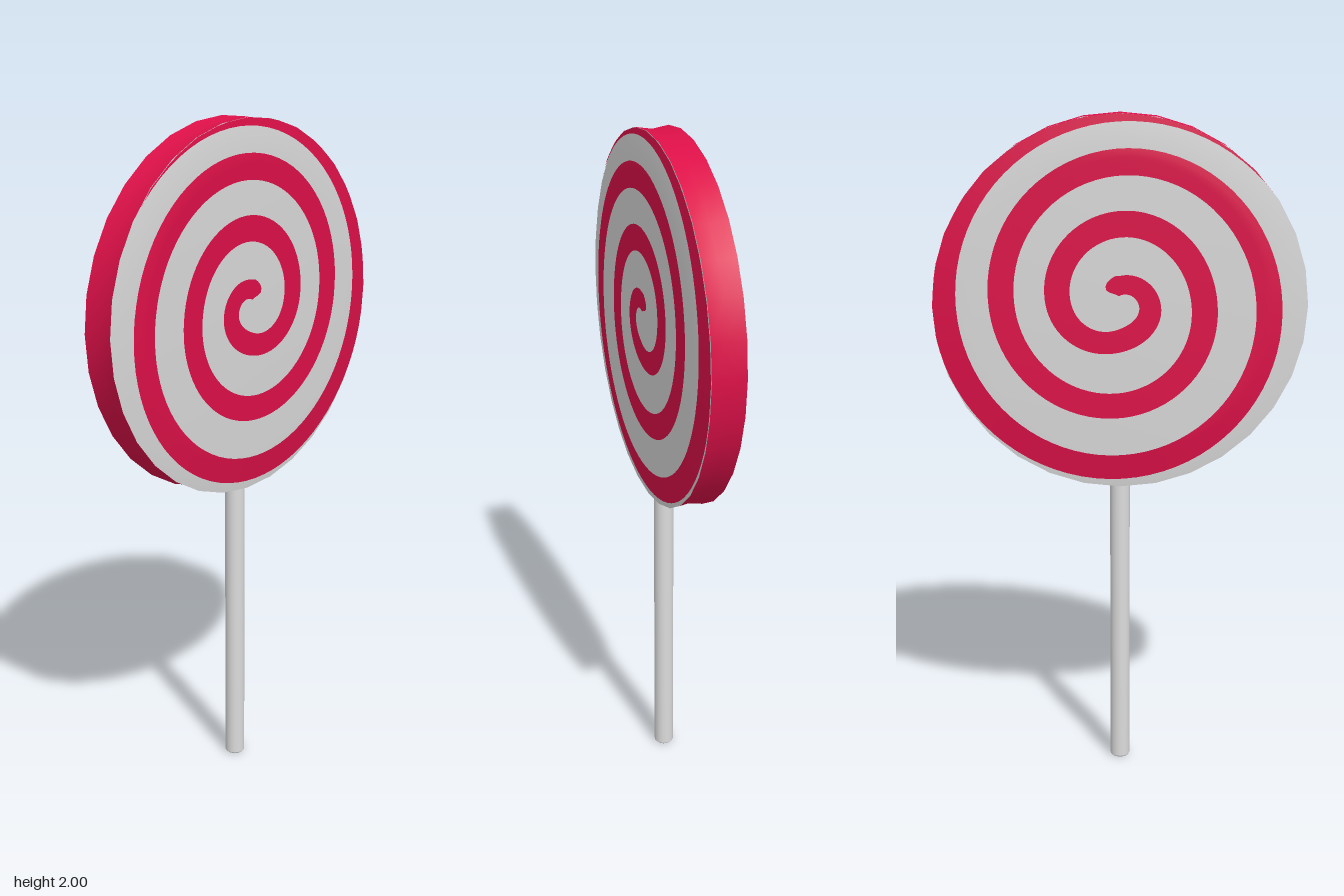
import * as THREE from 'three';

const R = 0.55, SIDES = 32, CENTRE_Y = 1.45;
const FLAT_R = 0.44, HALF = 0.065, EDGE = 0.05;

// Spiral centre-line radius at each quarter turn, starting at the top
const QUARTER_RADII = [0.06, 0.088, 0.102, 0.178, 0.238, 0.247, 0.297, 0.345, 0.414, 0.436, 0.487, 0.517, 0.565, 0.6];

const material = (name, color, side = THREE.FrontSide) =>
  Object.assign(new THREE.MeshStandardMaterial({ color, side }), { name });

function addMesh(parent, name, geometry, mat) {
  const mesh = new THREE.Mesh(geometry, mat);
  mesh.name = name;
  parent.add(mesh);
  return mesh;
}

const lathe = (points) =>
  new THREE.LatheGeometry(points.map(([r, y]) => new THREE.Vector2(r, y)), SIDES);

// Height of the candy face above its middle plane
const faceHeight = (r) =>
  r < FLAT_R ? HALF : HALF - (HALF - EDGE) * (r - FLAT_R) / (R - FLAT_R);

// Radius of the many-sided rim in direction a
function rimRadius(a) {
  const step = 2 * Math.PI / SIDES;
  const local = ((a % step) + step) % step - step / 2;
  return R * Math.cos(step / 2) / Math.cos(local);
}

// Thin spiral stripe that follows the face on one side (+1 or -1)
function spiralStripe(side) {
  const curve = new THREE.CatmullRomCurve3(
    QUARTER_RADII.map((r, k) => new THREE.Vector3(k, r, 0)), false, 'catmullrom', 0.5);
  const positions = [], indices = [];
  const steps = 260, across = 6, kStart = -0.45, kEnd = 12.6;
  for (let i = 0; i <= steps; i++) {
    const k = kStart + (kEnd - kStart) * i / steps;
    const a = Math.PI / 2 * (1 + k);
    const centre = curve.getPoint(Math.max(0, k) / (QUARTER_RADII.length - 1)).y;
    const rounding = Math.sqrt(Math.min(1, (k - kStart) / 0.35));
    const half = rounding * Math.min(0.038, 0.029 + Math.max(0, k) * 0.003);
    const limit = rimRadius(a);
    for (let j = 0; j <= across; j++) {
      const r = Math.min(limit, centre + half * (2 * j / across - 1));
      positions.push(side * (faceHeight(r) + 0.002), CENTRE_Y + r * Math.sin(a), -r * Math.cos(a));
      if (i < steps && j < across) {
        const p = i * (across + 1) + j, q = p + across + 1;
        if (side > 0) indices.push(p, p + 1, q + 1, p, q + 1, q);
        else indices.push(p, q + 1, p + 1, p, q, q + 1);
      }
    }
  }
  const geometry = new THREE.BufferGeometry();
  geometry.setAttribute('position', new THREE.Float32BufferAttribute(positions, 3));
  geometry.setIndex(indices);
  geometry.computeVertexNormals();
  return geometry;
}

export function createModel() {
  const model = new THREE.Group();
  model.name = 'lollipop';
  const red = material('candy red', 0xdc1048);
  const white = material('candy white', 0xd8d8d8);
  const paper = material('stick white', 0xdcdcdc);

  // Candy disc: red rim with a shallow groove
  const rim = lathe([[R, -EDGE], [R - 0.008, 0], [R, EDGE]]).rotateZ(-Math.PI / 2);
  addMesh(model, 'candyRim', rim, red).position.y = CENTRE_Y;

  // Bevelled faces with a matching spiral on both sides
  for (const [side, label] of [[1, 'left'], [-1, 'right']]) {
    const face = lathe([[R, EDGE], [FLAT_R, HALF], [0, HALF]]).rotateZ(-side * Math.PI / 2);
    addMesh(model, label + 'CandyFace', face, white).position.y = CENTRE_Y;
    addMesh(model, label + 'SpiralStripe', spiralStripe(side), red);
  }

  // Stick, slightly rounded at the foot
  const stick = new THREE.LatheGeometry(
    [[0, 0], [0.025, 0], [0.03, 0.006], [0.03, 0.93]].map(([r, y]) => new THREE.Vector2(r, y)), 16);
  addMesh(model, 'stick', stick, paper);

  return model;
}
